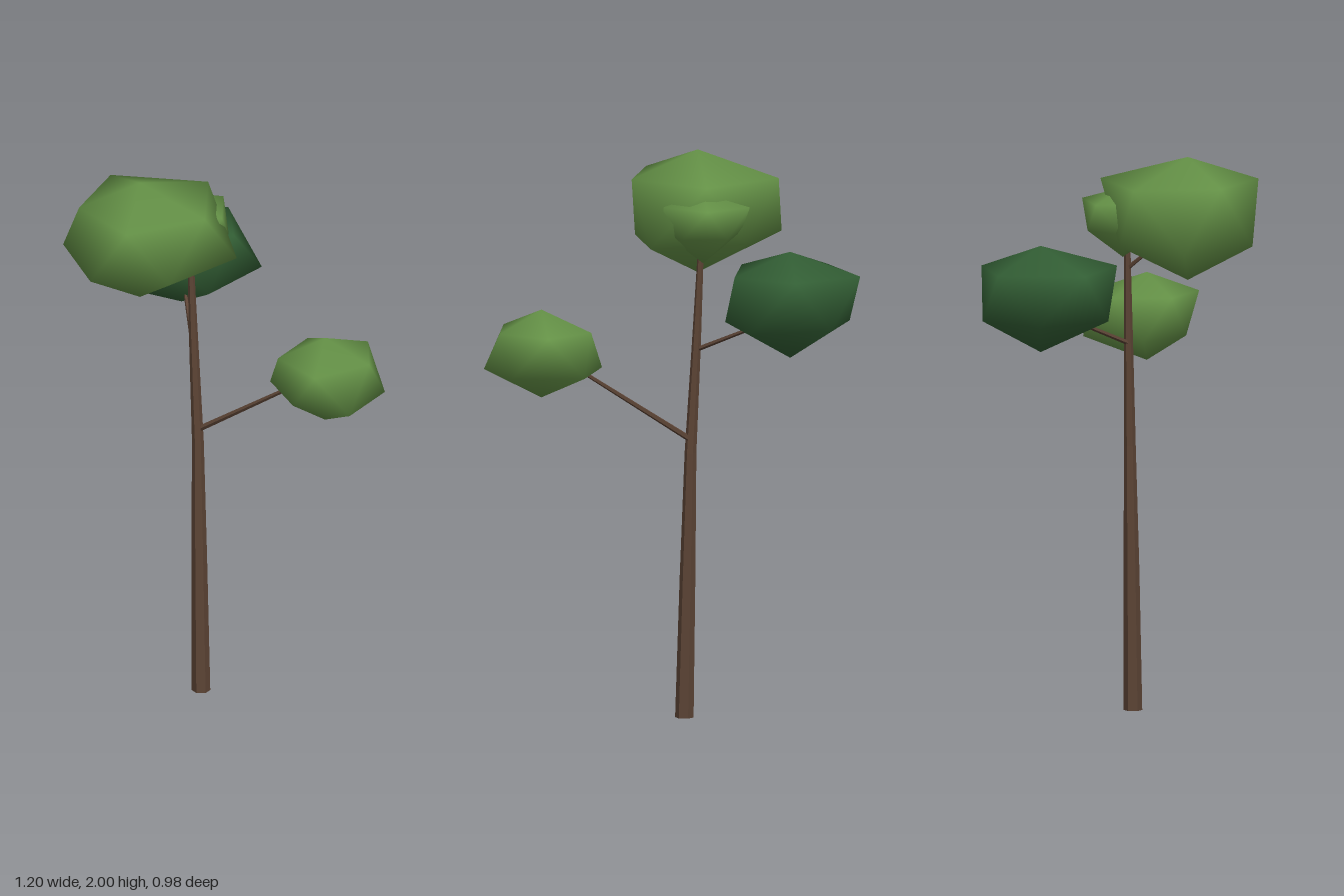
import * as THREE from 'three';

const bark = new THREE.MeshStandardMaterial({ color: 0x5c4435, flatShading: true });
const leaf = new THREE.MeshStandardMaterial({ color: 0x659247 });
const darkLeaf = new THREE.MeshStandardMaterial({ color: 0x335f35 });

// Leaf clump: two poles and a zigzag belt of ten [x, z] corners, high and low by turns
function clump(name, material, top, bottom, highY, lowY, belt) {
  const points = belt.map(([x, z], i) => [x, i % 2 ? lowY : highY, z]);
  points.push(top, bottom);
  const index = [];
  for (let i = 0; i < 10; i++) {
    const mid = (i + 1) % 10, next = (i + 2) % 10;
    if (i % 2 === 0) index.push(10, next, i, i, next, mid);
    else index.push(11, i, next, i, mid, next);
  }
  const geometry = new THREE.BufferGeometry();
  geometry.setAttribute('position', new THREE.Float32BufferAttribute(points.flat(), 3));
  geometry.setIndex(index);
  geometry.computeVertexNormals();
  const mesh = new THREE.Mesh(geometry, material);
  mesh.name = name;
  return mesh;
}

// Tapered straight branch between two points
function branch(name, from, to, r0, r1) {
  const a = new THREE.Vector3(...from), b = new THREE.Vector3(...to);
  const dir = b.clone().sub(a);
  const mesh = new THREE.Mesh(new THREE.CylinderGeometry(r1, r0, dir.length(), 5), bark);
  mesh.position.copy(a).add(b).multiplyScalar(0.5);
  mesh.quaternion.setFromUnitVectors(new THREE.Vector3(0, 1, 0), dir.normalize());
  mesh.name = name;
  return mesh;
}

// Six-sided trunk whose rings follow a gentle lean: [x, y, z, radius]
function trunk() {
  const rings = [
    [-0.103, 0, 0.045, 0.033],
    [-0.113, 0.5, 0.04, 0.028],
    [-0.122, 0.95, 0.034, 0.021],
    [-0.143, 1.35, 0.029, 0.016],
    [-0.16, 1.72, 0.025, 0.01],
  ];
  const n = rings.length - 1;
  const geometry = new THREE.CylinderGeometry(1, 1, 1, 6, n);
  const p = geometry.attributes.position;
  for (let i = 0; i < p.count; i++) {
    const [x, y, z, r] = rings[Math.round((p.getY(i) + 0.5) * n)];
    p.setXYZ(i, x + p.getX(i) * r, y, z + p.getZ(i) * r);
  }
  geometry.computeVertexNormals();
  const mesh = new THREE.Mesh(geometry, bark);
  mesh.name = 'trunk';
  return mesh;
}

export function createModel() {
  const tree = new THREE.Group();
  tree.name = 'tree';
  tree.add(
    trunk(),
    branch('leftBranch', [-0.118, 1.0, 0.032], [0.38, 1.32, 0.03], 0.011, 0.006),
    branch('backBranch', [-0.145, 1.32, 0.03], [-0.33, 1.45, -0.22], 0.009, 0.006),
    branch('topBranch', [-0.155, 1.59, 0.027], [-0.24, 1.72, 0.17], 0.008, 0.005),

    clump('mainCrown', leaf, [-0.24, 2, 0.24], [-0.24, 1.56, 0.24], 1.91, 1.69, [
      [0.02, 0.23], [-0.05, 0.36], [-0.15, 0.49], [-0.31, 0.47], [-0.42, 0.36],
      [-0.56, 0.23], [-0.47, 0.05], [-0.32, 0.0], [-0.14, -0.07], [0.035, 0.03],
    ]),
    clump('backCrown', darkLeaf, [-0.37, 1.7, -0.28], [-0.37, 1.32, -0.28], 1.62, 1.44, [
      [-0.155, -0.28], [-0.18, -0.14], [-0.3, -0.01], [-0.44, -0.04], [-0.585, -0.12],
      [-0.6, -0.28], [-0.575, -0.43], [-0.44, -0.485], [-0.3, -0.49], [-0.14, -0.45],
    ]),
    clump('leftCrown', leaf, [0.43, 1.49, 0.09], [0.43, 1.175, 0.09], 1.415, 1.27, [
      [0.6, 0.07], [0.6, 0.21], [0.495, 0.275], [0.38, 0.23], [0.29, 0.18],
      [0.2, 0.08], [0.29, -0.03], [0.36, -0.135], [0.49, -0.11], [0.6, -0.04],
    ]),
    clump('smallCrown', leaf, [-0.16, 1.88, 0.01], [-0.16, 1.63, 0.01], 1.835, 1.73, [
      [-0.02, 0.04], [-0.05, 0.11], [-0.12, 0.15], [-0.21, 0.14], [-0.27, 0.1],
      [-0.31, 0.02], [-0.3, -0.085], [-0.2, -0.115], [-0.115, -0.135], [-0.05, -0.06],
    ]),
  );
  return tree;
}
